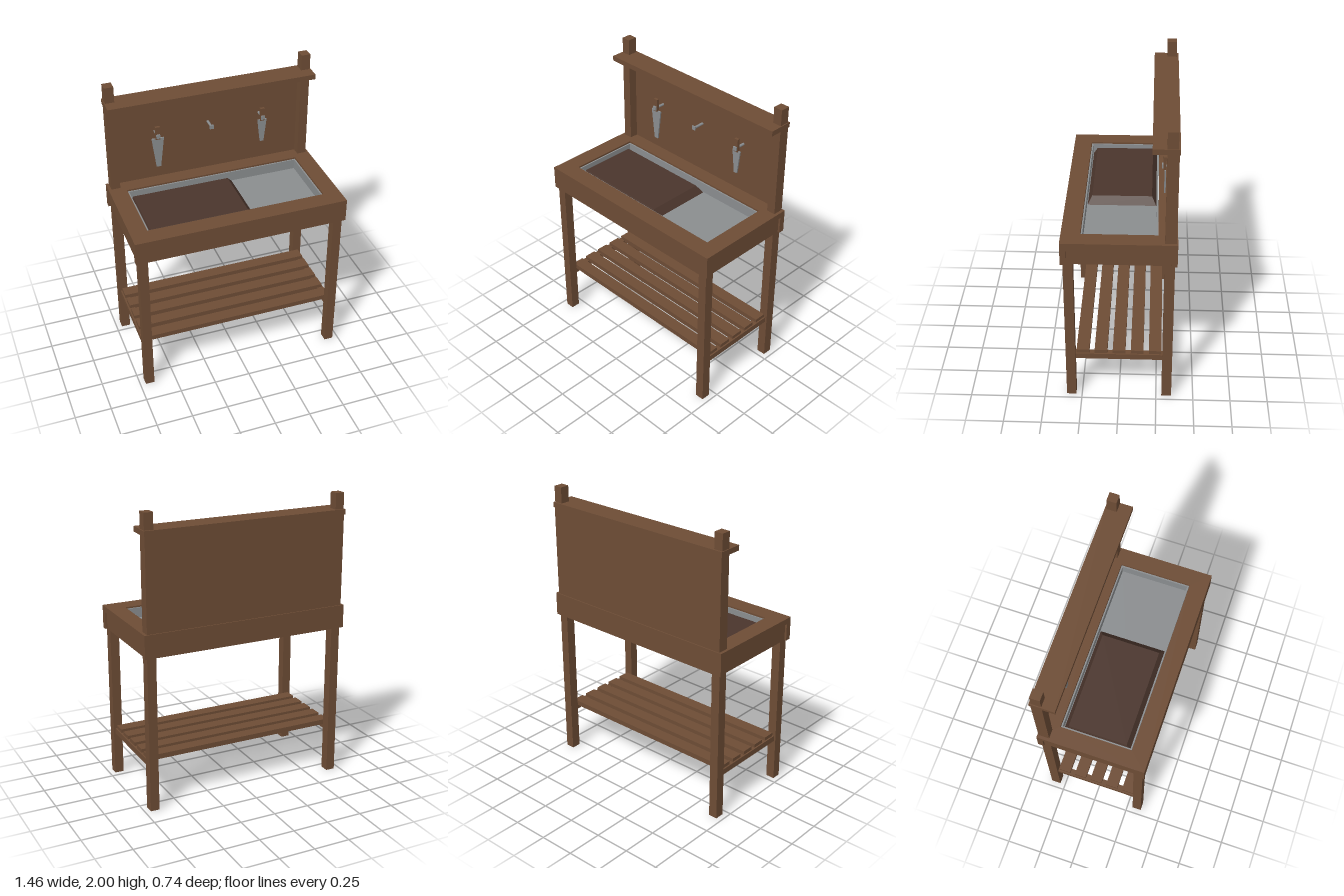
import * as THREE from 'three';

export function createModel() {
  const model = new THREE.Group();
  model.name = 'pottingBench';
  const material = (name, color) => {
    const m = new THREE.MeshStandardMaterial({ color });
    m.name = name;
    return m;
  };
  const wood = material('wood', 0x6d4c35);
  const soil = material('soil', 0x4a352c);
  const metal = material('metal', 0x8a8d8f);

  function add(name, geometry, mat, parent = model) {
    const mesh = new THREE.Mesh(geometry, mat);
    mesh.name = name;
    parent.add(mesh);
    return mesh;
  }

  // Box given by its limits on each axis
  function box(name, mat, [x0, x1], [y0, y1], [z0, z1], parent) {
    const g = new THREE.BoxGeometry(x1 - x0, y1 - y0, z1 - z0);
    g.translate((x0 + x1) / 2, (y0 + y1) / 2, (z0 + z1) / 2);
    return add(name, g, mat, parent);
  }

  // Solid plate with a rectangular opening, lying flat
  function frame(name, mat, halfX, halfZ, holeX, holeZ, y0, y1) {
    const rect = (path, x, z) => path.moveTo(-x, -z).lineTo(x, -z).lineTo(x, z).lineTo(-x, z).closePath();
    const shape = rect(new THREE.Shape(), halfX, halfZ);
    shape.holes.push(rect(new THREE.Path(), holeX, holeZ));
    const g = new THREE.ExtrudeGeometry(shape, { depth: y1 - y0, bevelEnabled: false });
    g.rotateX(-Math.PI / 2).translate(0, y0, 0);
    return add(name, g, mat);
  }

  // Legs, rear posts, side aprons and shelf rails on both sides
  for (const s of [-1, 1]) {
    const side = (a, b) => (s > 0 ? [a, b] : [-b, -a]);
    box('frontLeg', wood, side(0.65, 0.712), [0, 1.19], [0.29, 0.353]);
    box('backPost', wood, side(0.65, 0.712), [0, 2], [-0.353, -0.287]);
    box('sideApron', wood, side(0.68, 0.718), [1.07, 1.19], [-0.33, 0.33]);
    box('shelfRail', wood, side(0.655, 0.7), [0.3, 0.34], [-0.29, 0.29]);
  }

  // Table top frame with long aprons
  frame('topFrame', wood, 0.732, 0.368, 0.615, 0.245, 1.19, 1.23);
  box('frontApron', wood, [-0.732, 0.732], [1.07, 1.19], [0.328, 0.368]);
  box('backApron', wood, [-0.732, 0.732], [1.07, 1.19], [-0.368, -0.328]);

  // Slatted lower shelf
  for (let i = -2; i <= 2; i++) {
    const z = i * 0.12;
    box('shelfSlat', wood, [-0.69, 0.69], [0.33, 0.365], [z - 0.042, z + 0.042]);
  }

  // Back panel and upper shelf
  box('backPanel', wood, [-0.712, 0.712], [1.2, 1.86], [-0.36, -0.347]);
  box('upperShelf', wood, [-0.718, 0.718], [1.855, 1.89], [-0.366, -0.2]);

  // Metal tray
  frame('trayWalls', metal, 0.613, 0.243, 0.603, 0.233, 1.135, 1.22);
  box('trayFloor', metal, [-0.605, 0.605], [1.135, 1.15], [-0.235, 0.235]);

  // Soil heap with sloping edges
  const heap = new THREE.BoxGeometry(1, 1, 1);
  const p = heap.attributes.position;
  for (let i = 0; i < p.count; i++) {
    const top = p.getY(i) > 0;
    const x = p.getX(i) > 0 ? (top ? 0.09 : 0.135) : (top ? -0.585 : -0.602);
    const z = Math.sign(p.getZ(i)) * (top ? 0.2 : 0.232);
    p.setXYZ(i, x, top ? 1.2 : 1.145, z);
  }
  heap.computeVertexNormals();
  add('soil', heap, soil);

  // Hook: a rod out of the panel with a small knob
  function hook(x) {
    const rod = new THREE.CylinderGeometry(0.009, 0.009, 0.085, 8);
    rod.rotateX(Math.PI / 2).translate(x, 1.59, -0.307);
    add('hookRod', rod, metal);
    box('hookTip', metal, [x - 0.013, x + 0.013], [1.577, 1.605], [-0.268, -0.259]);
  }

  // Trowel: wooden grip over a tapered blade
  function trowel(x, topWidth, tipWidth, tipY) {
    const group = new THREE.Group();
    group.name = 'trowel';
    model.add(group);
    const blade = new THREE.Shape();
    blade.moveTo(x - tipWidth / 2, tipY).lineTo(x + tipWidth / 2, tipY);
    blade.lineTo(x + topWidth / 2, 1.57).lineTo(x - topWidth / 2, 1.57).closePath();
    const g = new THREE.ExtrudeGeometry(blade, { depth: 0.01, bevelEnabled: false });
    g.translate(0, 0, -0.286);
    add('trowelBlade', g, metal, group);
    box('trowelGrip', wood, [x - 0.016, x + 0.016], [1.565, 1.658], [-0.288, -0.269], group);
  }

  [-0.375, 0, 0.37].forEach(hook);
  trowel(-0.375, 0.085, 0.03, 1.35);
  trowel(0.37, 0.065, 0.025, 1.4);

  return model;
}
